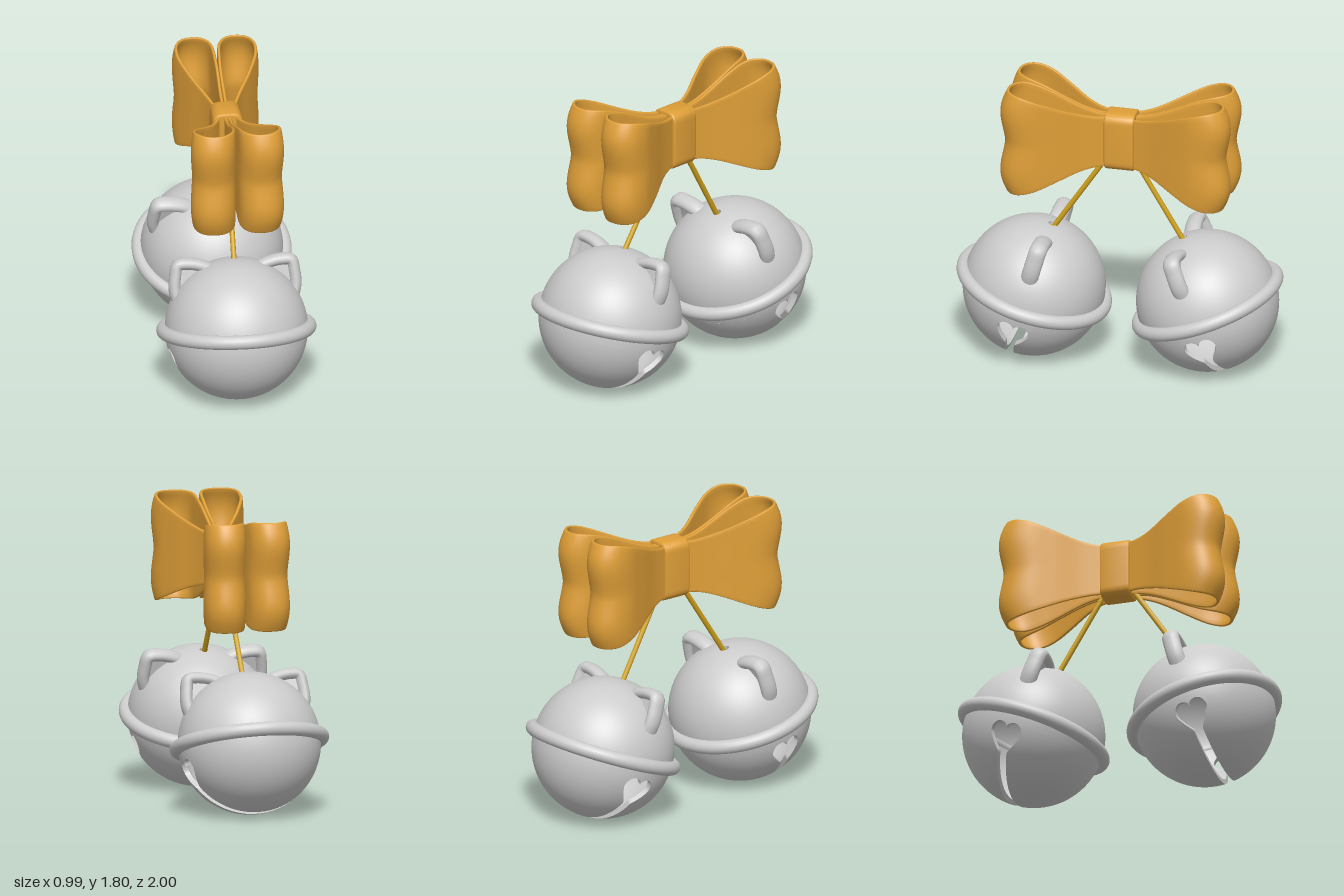
import * as THREE from 'three';
import { toCreasedNormals } from 'three/addons/utils/BufferGeometryUtils.js';

const GREY = new THREE.MeshStandardMaterial({ color: 0xcccccc });
const GOLD = new THREE.MeshStandardMaterial({ color: 0xdf9f38 });
const CORD = new THREE.MeshStandardMaterial({ color: 0xd0a21c });

const R = 0.433, WALL = 0.03;                 // bell radius and wall thickness
const HEART_TOP = -0.09, HEART_H = 0.17, SLOT = 0.028;

function mesh(name, geometry, material, parent) {
  const m = new THREE.Mesh(geometry, material);
  m.name = name;
  parent.add(m);
  return m;
}

// Skin a list of closed cross-section loops
function loft(loops) {
  const n = loops[0].length, index = [];
  for (let i = 0; i < loops.length - 1; i++) {
    for (let j = 0; j < n; j++) {
      const k = (j + 1) % n;
      const a = i * n + j, b = i * n + k, c = a + n, d = b + n;
      index.push(a, b, c, b, d, c);
    }
  }
  const g = new THREE.BufferGeometry();
  g.setAttribute('position', new THREE.Float32BufferAttribute(loops.flat(2), 3));
  g.setIndex(index);
  g.computeVertexNormals();
  return g;
}

const onSphere = (r, phi, az) => [r * Math.sin(phi) * Math.cos(az), r * Math.cos(phi), r * Math.sin(phi) * Math.sin(az)];

// Half width of the heart opening and the slot below it
function openingHalfWidth(y) {
  const d = Math.max(0, HEART_TOP - y);
  if (d < 0.06) return 0.05 + 0.05 * Math.sqrt(1 - (1 - d / 0.06) ** 2);
  if (d > HEART_H) return SLOT;
  const t = (d - 0.06) / (HEART_H - 0.06);
  return 0.1 + (SLOT - 0.1) * Math.pow(t, 1.35);
}

// Half width of the point hanging between the heart's lobes
function notchHalfWidth(y) {
  const d = Math.min(0.035, Math.max(0, HEART_TOP - y));
  return 0.05 - 0.05 * Math.sqrt(1 - (1 - d / 0.035) ** 2);
}

// Thick piece of bell wall, its azimuth range given row by row
function wallPanel(phi0, phi1, rows, cols, range) {
  const loops = [];
  for (let i = 0; i <= rows; i++) {
    const phi = phi0 + (phi1 - phi0) * Math.pow(i / rows, 1.7);
    const [a0, a1] = range(R * Math.cos(phi), R * Math.sin(phi));
    const outer = [], inner = [];
    for (let j = 0; j <= cols; j++) {
      const az = a0 + (a1 - a0) * j / cols;
      outer.push(onSphere(R, phi, az));
      inner.unshift(onSphere(R - WALL, phi, az));
    }
    loops.push([...outer, ...inner]);
  }
  return toCreasedNormals(loft(loops), 0.7);
}

function makeEar(side) {
  const ear = new THREE.Group();
  ear.name = side > 0 ? 'leftEar' : 'rightEar';
  const path = [[0.11, 0.35], [0.2, 0.395], [0.29, 0.412], [0.345, 0.405], [0.362, 0.34], [0.367, 0.25], [0.34, 0.15]]
    .map(([x, y]) => new THREE.Vector3(x * side, y, 0));
  // Rounded rim of the ear
  const rim = new THREE.TubeGeometry(new THREE.CatmullRomCurve3(path), 36, 0.037, 16);
  rim.scale(1, 1, 1.45);
  mesh('earRim', rim, GREY, ear);
  // Thinner inner face
  const face = new THREE.ExtrudeGeometry(new THREE.Shape(path.map(p => new THREE.Vector2(p.x, p.y))), { depth: 0.04, bevelEnabled: false });
  face.translate(0, 0, -0.02);
  mesh('earFace', face, GREY, ear);
  return ear;
}

function makeBell(name) {
  const bell = new THREE.Group();
  bell.name = name;
  const phiTop = Math.acos(HEART_TOP / R);
  const phiEnd = Math.PI - Math.asin(SLOT / R);

  // Hollow dome with a small cord hole
  const outer = [], inner = [];
  for (let i = 0; i <= 48; i++) {
    const phi = phiTop + (Math.asin(0.026 / R) - phiTop) * i / 48;
    outer.push(new THREE.Vector2(R * Math.sin(phi), R * Math.cos(phi)));
    inner.unshift(new THREE.Vector2((R - WALL) * Math.sin(phi), (R - WALL) * Math.cos(phi)));
  }
  const dome = new THREE.LatheGeometry([...outer, ...inner], 72);
  mesh('dome', toCreasedNormals(dome, 0.7), GREY, bell);

  // Lower halves split by the slot, and the heart notches on both sides
  const half = wallPanel(phiTop, phiEnd, 56, 48, (y, r) => {
    const a = Math.asin(Math.min(1, openingHalfWidth(y) / r));
    return [a, Math.PI - a];
  });
  const notch = wallPanel(phiTop, Math.acos((HEART_TOP - 0.035) / R), 10, 8, (y, r) => {
    const a = Math.asin(notchHalfWidth(y) / r);
    return [-a, a];
  });
  for (const turn of [0, Math.PI]) {
    mesh('lowerHalf', half, GREY, bell).rotation.y = turn;
    mesh('heartNotch', notch, GREY, bell).rotation.y = turn;
  }

  // Belt around the middle
  const belt = new THREE.TorusGeometry(0.442, 0.043, 20, 96);
  belt.rotateX(Math.PI / 2);
  mesh('belt', belt, GREY, bell);

  bell.add(makeEar(1), makeEar(-1));
  return bell;
}

// One ribbon loop: a teardrop path seen from above, swept as a flaring strip
function bowLoopGeometry() {
  const path = new THREE.CatmullRomCurve3([
    [0.045, 0.04], [0.11, 0.2], [0.2, 0.36], [0.255, 0.49], [0.25, 0.585], [0.195, 0.645],
    [0.1, 0.65], [0.035, 0.59], [0.014, 0.45], [0.012, 0.2], [0.012, 0.04],
  ].map(([x, z]) => new THREE.Vector3(x, 0, z)));
  const T = 0.01, N = 24, section = [];
  for (let k = 0; k <= N; k++) section.push([-1 + 2 * k / N, T]);
  section.push([1.02, T * 0.6], [1.025, 0], [1.02, -T * 0.6]);
  for (let k = N; k >= 0; k--) section.push([-1 + 2 * k / N, -T]);
  section.push([-1.02, -T * 0.6], [-1.025, 0], [-1.02, T * 0.6]);
  const loops = [];
  for (let i = 0; i <= 90; i++) {
    const p = path.getPointAt(i / 90), t = path.getTangentAt(i / 90);
    const s = THREE.MathUtils.smoothstep(p.z, 0.08, 0.64);
    const h = 0.16 + 0.165 * s;
    loops.push(section.map(([v, o]) => {
      // Puffed above and below a waist
      const w = Math.min(1, Math.abs(v));
      const f = 1 + s * (0.048 * Math.sin(Math.PI * Math.pow(w, 1.4)) + 0.012 * (1 - w * w));
      return [p.x * f + t.z * o, v * h, p.z * f - t.x * o];
    }));
  }
  return loft(loops);
}

function makeBow() {
  const bow = new THREE.Group();
  bow.name = 'bow';
  bow.position.set(0.008, 1.467, 0);
  const loop = bowLoopGeometry();
  for (const z of [1, -1]) {
    for (const x of [1, -1]) {
      const m = mesh(z > 0 ? 'frontLoop' : 'backLoop', loop, GOLD, bow);
      m.scale.set(x * (z > 0 ? 1 : 0.93), 1, z * (z > 0 ? 1 : 1.025));
    }
  }
  // Band around the middle
  const w = 0.078, h = 0.172, c = 0.05, s = new THREE.Shape();
  s.moveTo(-w + c, -h);
  s.lineTo(w - c, -h).quadraticCurveTo(w, -h, w, -h + c);
  s.lineTo(w, h - c).quadraticCurveTo(w, h, w - c, h);
  s.lineTo(-w + c, h).quadraticCurveTo(-w, h, -w, h - c);
  s.lineTo(-w, -h + c).quadraticCurveTo(-w, -h, -w + c, -h);
  const band = new THREE.ExtrudeGeometry(s, { depth: 0.16, bevelSize: 0.013, bevelThickness: 0.013, bevelSegments: 4, curveSegments: 12 });
  band.translate(0, 0, -0.092);
  mesh('band', toCreasedNormals(band, 0.7), GOLD, bow);
  return bow;
}

export function createModel() {
  const model = new THREE.Group();
  model.name = 'bellsOnBow';
  model.add(makeBow());

  // Two bells leaning towards the bow, each on its cord
  for (const [name, x, z, tilt, topZ] of [['frontBell', 0.005, 0.533, -0.27, 0.03], ['backBell', -0.018, -0.54, 0.36, -0.05]]) {
    const bell = makeBell(name);
    bell.position.set(x, 0.435, z);
    bell.rotation.x = tilt;
    model.add(bell);
    const r = R - 0.05;
    const low = new THREE.Vector3(x, 0.435 + r * Math.cos(tilt), z + r * Math.sin(tilt));
    const cord = new THREE.LineCurve3(low, new THREE.Vector3(0.005, 1.41, topZ));
    mesh('cord', new THREE.TubeGeometry(cord, 1, 0.016, 12), CORD, model);
  }
  return model;
}
